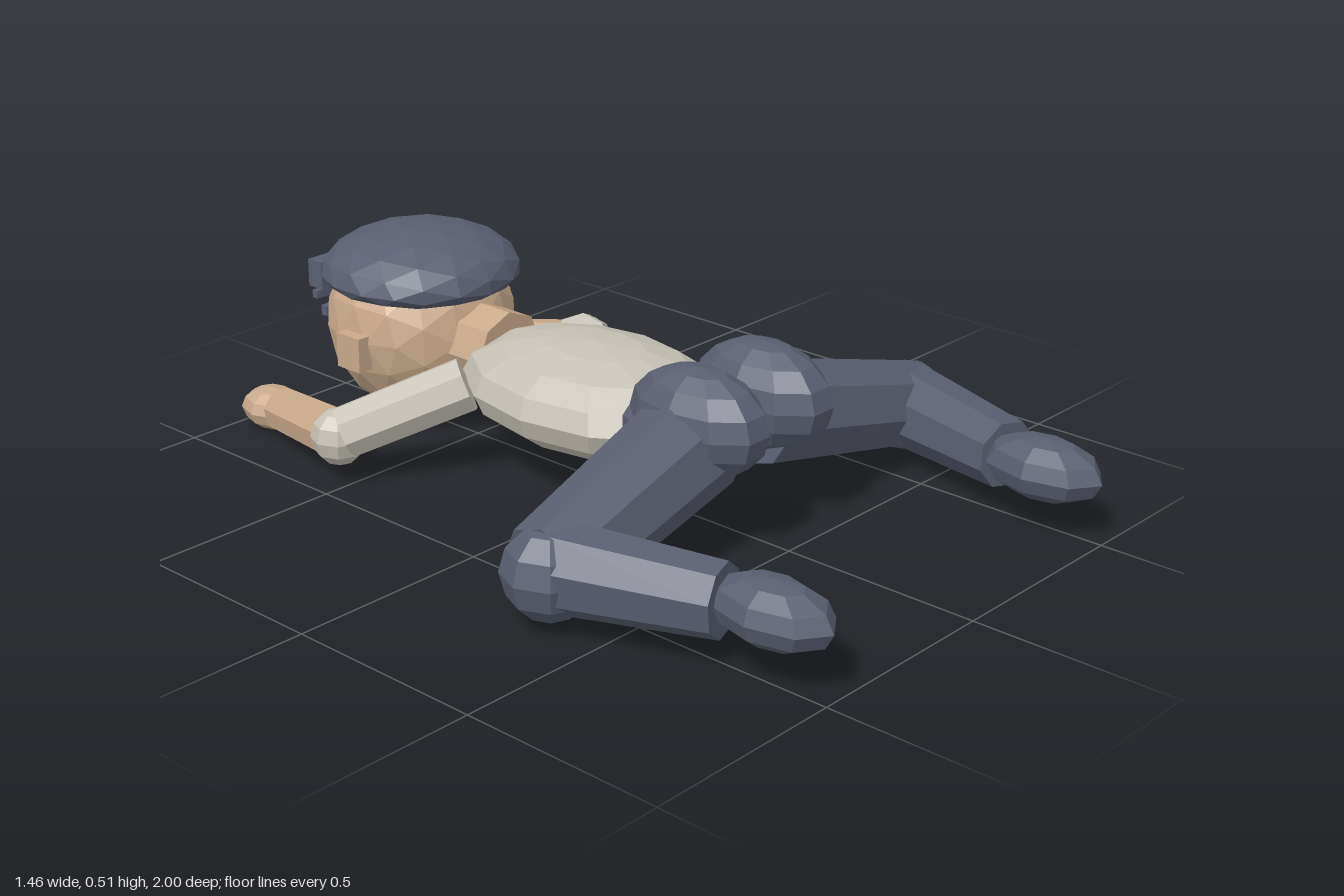
import * as THREE from 'three';

const mat = (name, color) => {
  const m = new THREE.MeshStandardMaterial({ color, flatShading: true });
  m.name = name;
  return m;
};

export function createModel() {
  const skin = mat('skin', 0xc9a98a);
  const shirt = mat('shirt', 0xc6c1b6);
  const dark = mat('dark cloth and hair', 0x595f70);
  const group = new THREE.Group();

  const add = (name, geometry, material, pos) => {
    const mesh = new THREE.Mesh(geometry, material);
    mesh.name = name;
    mesh.position.set(...pos);
    group.add(mesh);
    return mesh;
  };
  const blob = (name, material, pos, scale, w = 10, h = 7) =>
    add(name, new THREE.SphereGeometry(1, w, h).scale(...scale), material, pos);
  const box = (name, material, pos, size) => add(name, new THREE.BoxGeometry(...size), material, pos);
  // Tapered eight-sided limb between two points
  const limb = (name, material, a, b, ra, rb) => {
    const p = new THREE.Vector3(...a), q = new THREE.Vector3(...b);
    const d = q.clone().sub(p);
    const mesh = add(name, new THREE.CylinderGeometry(rb, ra, d.length(), 8), material,
      p.clone().add(q).multiplyScalar(0.5).toArray());
    mesh.quaternion.setFromUnitVectors(new THREE.Vector3(0, 1, 0), d.normalize());
    return mesh;
  };

  // Trunk
  blob('torso', shirt, [0, 0.228, -0.1], [0.25, 0.128, 0.37], 12, 8);
  blob('hips', dark, [0, 0.265, 0.25], [0.22, 0.11, 0.17], 10, 7);
  limb('neck', skin, [0, 0.25, -0.38], [0, 0.25, -0.6], 0.105, 0.105);

  // Head, facing -z
  add('head', new THREE.IcosahedronGeometry(0.237, 2), skin, [0, 0.268, -0.695]);

  // Hair cap: flattened ball with a shallower underside
  const cap = new THREE.IcosahedronGeometry(0.25, 2);
  const pos = cap.attributes.position;
  for (let i = 0; i < pos.count; i++) {
    const y = pos.getY(i);
    pos.setY(i, y * (y > 0 ? 0.46 : 0.25));
  }
  cap.computeVertexNormals();
  add('hairCap', cap, dark, [0, 0.397, -0.69]);

  // Nose and mouth
  box('nose', skin, [0, 0.235, -0.94], [0.03, 0.06, 0.05]);
  box('mouth', dark, [0, 0.155, -0.94], [0.09, 0.02, 0.014]);

  for (const [side, s] of [['left', 1], ['right', -1]]) {
    const name = (part) => side + part;

    // Face details
    box(name('Ear'), skin, [s * 0.24, 0.245, -0.68], [0.04, 0.088, 0.08]);
    box(name('Brow'), dark, [s * 0.095, 0.3, -0.945], [0.08, 0.02, 0.018]);
    box(name('Eye'), dark, [s * 0.085, 0.25, -0.942], [0.05, 0.026, 0.02]);
    box(name('Fringe'), dark, [s * 0.135, 0.375, -0.895], [0.075, 0.07, 0.05]);

    // Arm reaching forward
    limb(name('Sleeve'), shirt, [s * 0.195, 0.24, -0.33], [s * 0.42, 0.13, -0.52], 0.069, 0.066);
    blob(name('Elbow'), shirt, [s * 0.425, 0.12, -0.53], [0.07, 0.07, 0.07], 8, 6);
    limb(name('Forearm'), skin, [s * 0.415, 0.115, -0.55], [s * 0.338, 0.073, -0.84], 0.063, 0.057);
    blob(name('Hand'), skin, [s * 0.315, 0.056, -0.91], [0.073, 0.053, 0.09], 8, 6);

    // Splayed, bent leg
    blob(name('Seat'), dark, [s * 0.112, 0.307, 0.325], [0.113, 0.127, 0.185], 10, 8);
    limb(name('Thigh'), dark, [s * 0.1, 0.26, 0.31], [s * 0.63, 0.135, 0.355], 0.13, 0.108);
    blob(name('Knee'), dark, [s * 0.62, 0.133, 0.36], [0.112, 0.11, 0.108], 8, 6);
    limb(name('Shin'), dark, [s * 0.605, 0.142, 0.38], [s * 0.503, 0.148, 0.735], 0.102, 0.083);
    blob(name('Foot'), dark, [s * 0.483, 0.155, 0.845], [0.092, 0.073, 0.155], 8, 6);
  }
  return group;
}
